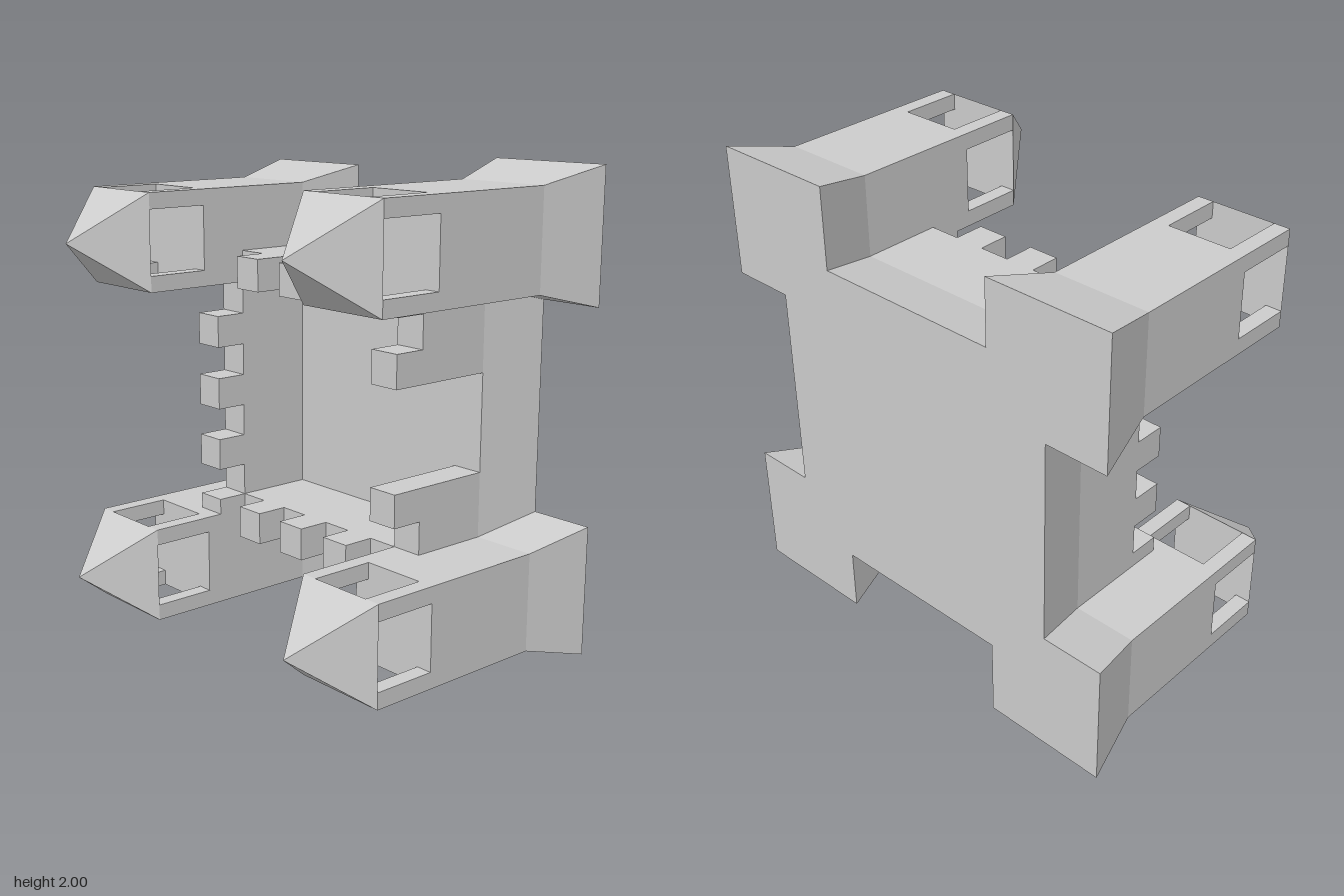
import * as THREE from 'three';

// One grid unit; the castle lies on its back, so its "up" is +z.
const U = 1 / 15;
const MID = 15; // height of the keep's centre in grid units
const material = new THREE.MeshStandardMaterial({ color: 0xcccccc, flatShading: true });

function add(group, name, geometry, x, y, z) {
  const mesh = new THREE.Mesh(geometry, material);
  mesh.name = name;
  mesh.position.set(x * U, y * U, z * U);
  group.add(mesh);
}

const block = (w, h, d) => new THREE.BoxGeometry(w * U, h * U, d * U);

// Square frustum along +z, given by its side lengths at the bottom and top
function frustum(bottom, top, depth) {
  return new THREE.CylinderGeometry(top * U * Math.SQRT1_2, bottom * U * Math.SQRT1_2, depth * U, 4)
    .rotateY(Math.PI / 4)
    .rotateX(Math.PI / 2);
}

function createTower(x, y) {
  const tower = new THREE.Group();
  tower.name = 'tower';
  add(tower, 'towerBase', frustum(8, 6, 4), 0, 0, -8);
  add(tower, 'towerShaft', block(6, 6, 8), 0, 0, -2);
  // Open lookout between four corner posts
  for (const sx of [-1, 1]) {
    for (const sy of [-1, 1]) add(tower, 'cornerPost', block(1, 1, 4), sx * 2.5, sy * 2.5, 4);
  }
  add(tower, 'towerRoof', frustum(6, 0, 4), 0, 0, 8);
  tower.position.set(x * U, y * U, 0);
  return tower;
}

// Wall ring, interrupted by the gate on the +x side
function createWalls() {
  const outline = [[9, 3], [9, 9], [-9, 9], [-9, -9], [9, -9], [9, -3],
    [7, -3], [7, -7], [-7, -7], [-7, 7], [7, 7], [7, 3]];
  const shape = new THREE.Shape(outline.map(([x, y]) => new THREE.Vector2(x * U, y * U)));
  return new THREE.ExtrudeGeometry(shape, { depth: 5 * U, bevelEnabled: false });
}

export function createModel() {
  const castle = new THREE.Group();
  castle.name = 'castle';

  add(castle, 'keepBase', frustum(20, 18, 4), 0, MID, -8);
  add(castle, 'walls', createWalls(), 0, MID, -6);

  // Merlons along the walls and on the corners; none in the gate
  for (const i of [-8, -4, 0, 4, 8]) {
    for (const side of [-8, 8]) {
      add(castle, 'merlon', block(2, 2, 2), i, MID + side, 0);
      const gate = side > 0 && i === 0;
      if (Math.abs(i) < 8 && !gate) add(castle, 'merlon', block(2, 2, 2), side, MID + i, 0);
    }
  }

  // The towers on the +x side sit one unit higher
  for (const [x, y] of [[-10, 4], [-10, 25], [10, 5], [10, 26]]) castle.add(createTower(x, y));
  return castle;
}
